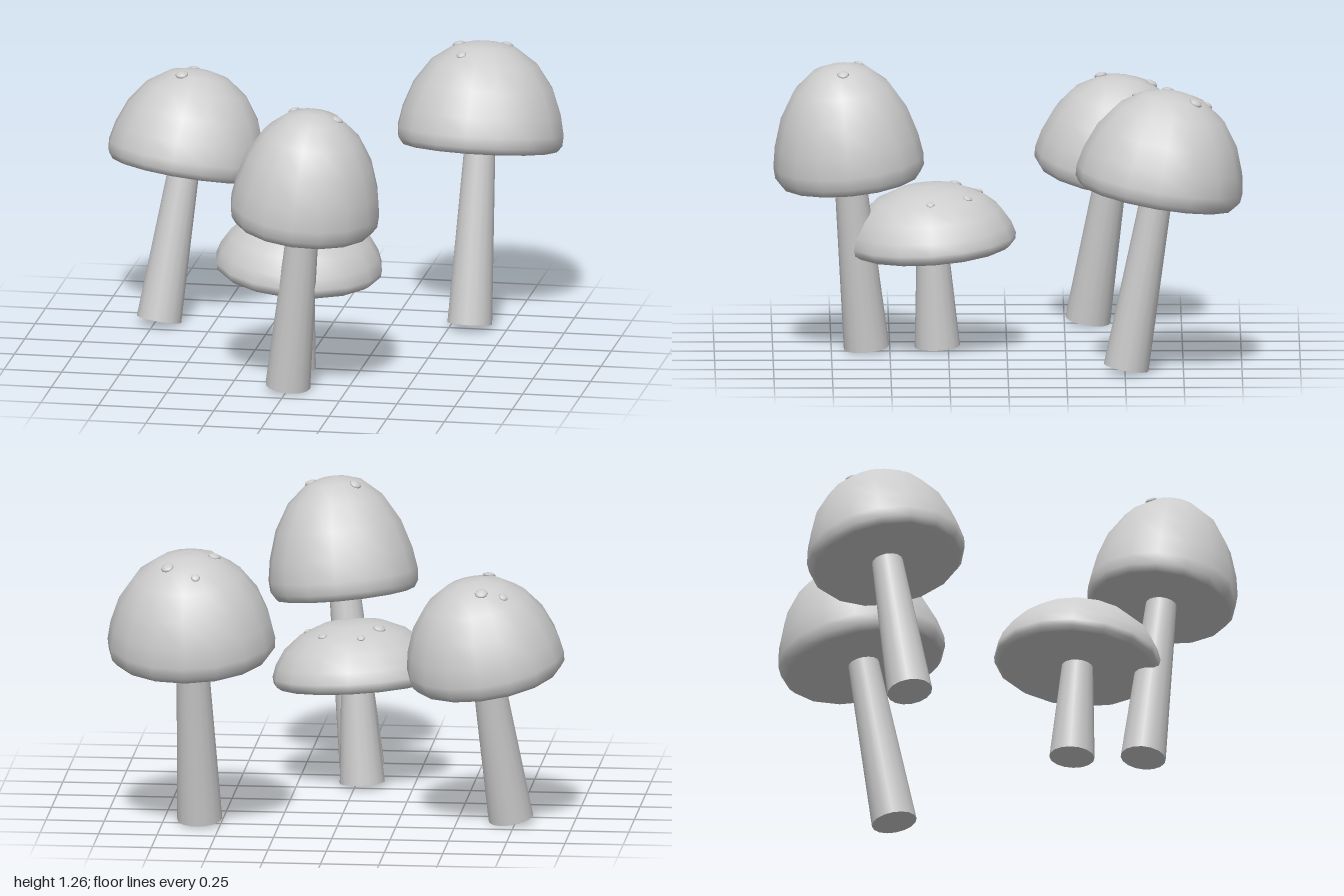
import * as THREE from 'three';

const grey = new THREE.MeshStandardMaterial({ color: 0xcccccc });
grey.name = 'plain grey';

// Cap profile as [radius, height], from the underside centre round the lip to the apex
const PROFILE = [[0, 0.03], [0.55, 0.02], [0.93, 0], [0.99, 0.06], [1, 0.16], [0.955, 0.34],
  [0.84, 0.58], [0.64, 0.8], [0.37, 0.95], [0.17, 0.99], [0, 1]];

// Height of the dome at a given distance from its axis (both as fractions)
function domeHeight(r) {
  for (let i = PROFILE.length - 1; i > 4; i--) {
    const [r0, h0] = PROFILE[i], [r1, h1] = PROFILE[i - 1];
    if (r <= r1) return h0 + (h1 - h0) * (r - r0) / (r1 - r0);
  }
  return 0.16;
}

// base: foot of the stem, rim: centre of the cap's lower edge, spots: [x, z, size]
const MUSHROOMS = [
  { name: 'leftBackMushroom', base: [-0.73, 0.015, -0.35], rim: [-0.64, 0.66, -0.45], radius: 0.34, height: 0.43,
    spots: [[-0.63, -0.62, 0.028], [-0.645, -0.4, 0.028], [-0.72, -0.61, 0.02]] },
  { name: 'rightBackMushroom', base: [0.59, 0.018, -0.505], rim: [0.61, 0.765, -0.635], radius: 0.36, height: 0.455,
    spots: [[0.7, -0.8, 0.028], [0.51, -0.68, 0.028], [0.545, -0.55, 0.022], [0.575, -0.86, 0.02]] },
  { name: 'tallFrontMushroom', base: [0, 0.013, 0.6], rim: [0.08, 0.755, 0.67], radius: 0.322, height: 0.505,
    spots: [[0.03, 0.63, 0.026], [0.23, 0.7, 0.026]] },
  { name: 'flatMushroom', base: [-0.03, 0.012, 0.297], rim: [-0.005, 0.44, 0.318], radius: 0.36, height: 0.275, lean: [0.07, 1, 0.07],
    spots: [[-0.11, 0.22, 0.028], [0.13, 0.17, 0.02], [-0.04, 0.12, 0.018], [0.21, 0.33, 0.018]] },
];

function part(name, geometry) {
  const mesh = new THREE.Mesh(geometry, grey);
  mesh.name = name;
  return mesh;
}

function makeMushroom({ name, base, rim, radius, height, lean, spots }) {
  const group = new THREE.Group();
  group.name = name;
  const up = new THREE.Vector3(0, 1, 0);
  const foot = new THREE.Vector3(...base), top = new THREE.Vector3(...rim);
  const axis = top.clone().sub(foot);

  // Tapered stem, reaching a little into the cap
  const length = axis.length() + 0.03;
  axis.normalize();
  const stem = part('stem', new THREE.CylinderGeometry(0.066, 0.097, length, 16));
  stem.position.copy(foot).addScaledVector(axis, length / 2);
  stem.quaternion.setFromUnitVectors(up, axis);

  // Domed cap, tilted with the stem
  const tilt = lean ? new THREE.Vector3(...lean).normalize() : axis;
  const head = new THREE.Group();
  head.name = 'head';
  head.position.copy(top);
  head.quaternion.setFromUnitVectors(up, tilt);
  const points = PROFILE.map(([r, h]) => new THREE.Vector2(r * radius, h * height));
  head.add(part('cap', new THREE.LatheGeometry(points, 16)));

  // Small flattened spots lying on the dome
  for (const [x, z, size] of spots) {
    const u = x - rim[0] - tilt.x * height * 0.92;
    const v = z - rim[2] - tilt.z * height * 0.92;
    const r = Math.hypot(u, v) / radius;
    const slope = (domeHeight(r - 0.05) - domeHeight(r + 0.05)) * height / (0.1 * radius);
    const spot = part('spot', new THREE.SphereGeometry(size, 10, 6));
    spot.scale.y = 0.45;
    spot.position.set(u, domeHeight(r) * height, v);
    const normal = new THREE.Vector3(u * slope, r * radius, v * slope).normalize();
    spot.quaternion.setFromUnitVectors(up, normal);
    head.add(spot);
  }
  group.add(stem, head);
  return group;
}

export function createModel() {
  const model = new THREE.Group();
  model.name = 'mushrooms';
  for (const spec of MUSHROOMS) model.add(makeMushroom(spec));
  return model;
}
